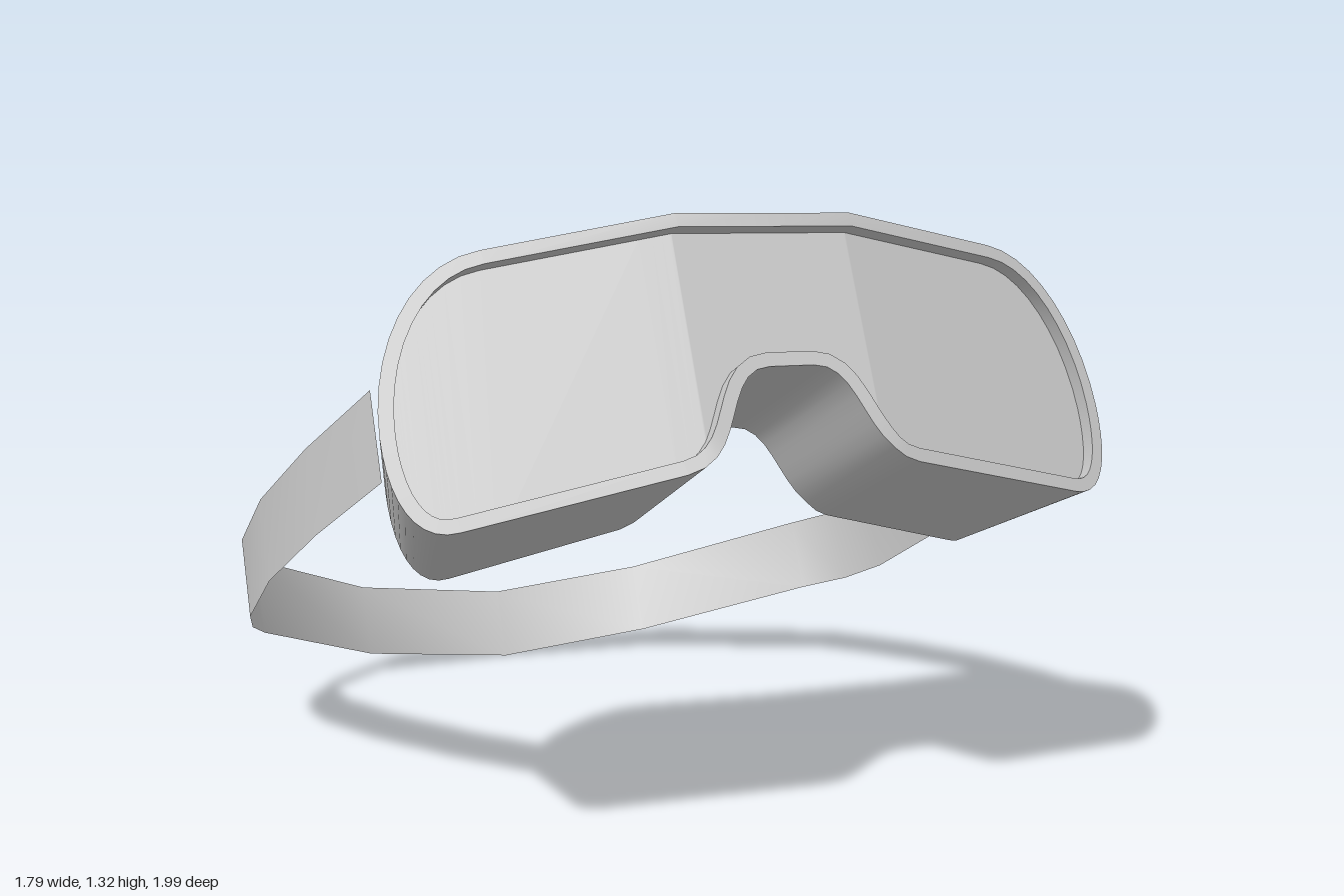
import * as THREE from 'three';

const TILT = THREE.MathUtils.degToRad(24);
const material = new THREE.MeshStandardMaterial({ color: 0xcccccc, side: THREE.DoubleSide });
material.name = 'light grey';

// Front and back faces bend away from a flat middle
const frontZ = x => 1.25 - 0.25 * Math.max(0, Math.abs(x) - 0.2);
const backZ = x => 0.833 - 0.27 * Math.max(0, Math.abs(x) - 0.2);
const backX = x => Math.abs(x) < 0.2 ? x : Math.sign(x) * (0.2 + (Math.abs(x) - 0.2) * 0.83);

// Right-hand half of the goggle outline, from top centre to nose centre
function halfOutline() {
  const s = new THREE.Path();
  s.moveTo(0, 0.888);
  s.lineTo(0.2, 0.888);
  s.lineTo(0.59, 0.852);
  s.bezierCurveTo(0.74, 0.838, 0.827, 0.66, 0.827, 0.49);
  s.bezierCurveTo(0.827, 0.37, 0.79, 0.27, 0.70, 0.284);
  s.lineTo(0.26, 0.342);
  s.bezierCurveTo(0.13, 0.36, 0.16, 0.554, 0.05, 0.554);
  s.lineTo(0, 0.554);
  return s.getPoints(10);
}

// Moves a half outline inwards by d
function inset(points, d) {
  return points.map((p, i) => {
    if (i === 0) return new THREE.Vector2(0, p.y - d);
    if (i === points.length - 1) return new THREE.Vector2(0, p.y + d);
    const a = p.clone().sub(points[i - 1]).normalize();
    const b = points[i + 1].clone().sub(p).normalize();
    const t = a.add(b).normalize();
    return new THREE.Vector2(p.x + t.y * d, p.y - t.x * d);
  });
}

const mirrorLoop = half => [
  ...half,
  ...half.slice(1, -1).reverse().map(p => new THREE.Vector2(-p.x, p.y)),
];

// Surface between two rows of [x, y, z] points
function strip(name, a, b, closed) {
  const n = a.length, index = [];
  for (let i = 0; i < (closed ? n : n - 1); i++) {
    const j = (i + 1) % n;
    index.push(i, n + i, j, j, n + i, n + j);
  }
  const g = new THREE.BufferGeometry();
  g.setAttribute('position', new THREE.Float32BufferAttribute([...a, ...b].flat(), 3));
  g.setIndex(index);
  g.computeVertexNormals();
  const mesh = new THREE.Mesh(g, material);
  mesh.name = name;
  return mesh;
}

// Height of a half outline section at x
function heightAt(points, x) {
  for (let i = 1; i < points.length; i++) {
    const a = points[i - 1], b = points[i];
    if (x >= Math.min(a.x, b.x) && x <= Math.max(a.x, b.x) && a.x !== b.x) {
      return a.y + (b.y - a.y) * (x - a.x) / (b.x - a.x);
    }
  }
  return points[points.length - 1].y;
}

function makeLens(half, depth) {
  let tip = 0;
  half.forEach((p, i) => { if (p.x > half[tip].x) tip = i; });
  const top = half.slice(0, tip + 1), bottom = half.slice(tip).reverse();
  const right = [...new Set([0.2, ...half.map(p => Math.max(0, p.x))])].sort((a, b) => a - b);
  const xs = [...right.slice(1).reverse().map(x => -x), ...right];
  const row = section => xs.map(x => [x, heightAt(section, Math.abs(x)), frontZ(x) - depth]);
  return strip('lens', row(top), row(bottom), false);
}

// Head strap centre line on one side: x, height, depth
const STRAP = [
  [0.79, 0.543, 0.931], [0.857, 0.528, 0.585], [0.895, 0.516, 0.23], [0.887, 0.502, -0.094],
  [0.855, 0.505, -0.245], [0.795, 0.519, -0.404], [0.425, 0.503, -0.772], [0, 0.473, -0.84],
];

function makeStrap() {
  const path = [...STRAP, ...STRAP.slice(0, -1).reverse().map(([x, y, z]) => [-x, y, z])];
  const edge = d => path.map(([x, y, z]) => [x, y + d, z]);
  return strip('headStrap', edge(0.098), edge(-0.098), false);
}

export function createModel() {
  const model = new THREE.Group();
  model.name = 'goggles';
  const tilted = new THREE.Group();
  tilted.name = 'tiltedGoggles';
  tilted.rotation.x = -TILT;
  model.add(tilted);

  const half = halfOutline(), innerHalf = inset(half, 0.03);
  const outer = mirrorLoop(half), inner = mirrorLoop(innerHalf);
  const recess = 0.035;
  const outerFront = outer.map(p => [p.x, p.y, frontZ(p.x)]);
  const outerBack = outer.map(p => [backX(p.x), p.y, backZ(backX(p.x))]);
  const innerFront = inner.map(p => [p.x, p.y, frontZ(p.x)]);
  const innerDeep = inner.map(p => [p.x, p.y, frontZ(p.x) - recess]);

  tilted.add(
    strip('bodyShell', outerBack, outerFront, true),
    strip('frontRim', outerFront, innerFront, true),
    strip('rimRecess', innerFront, innerDeep, true),
    makeLens(innerHalf, recess),
    makeStrap(),
  );
  return model;
}
